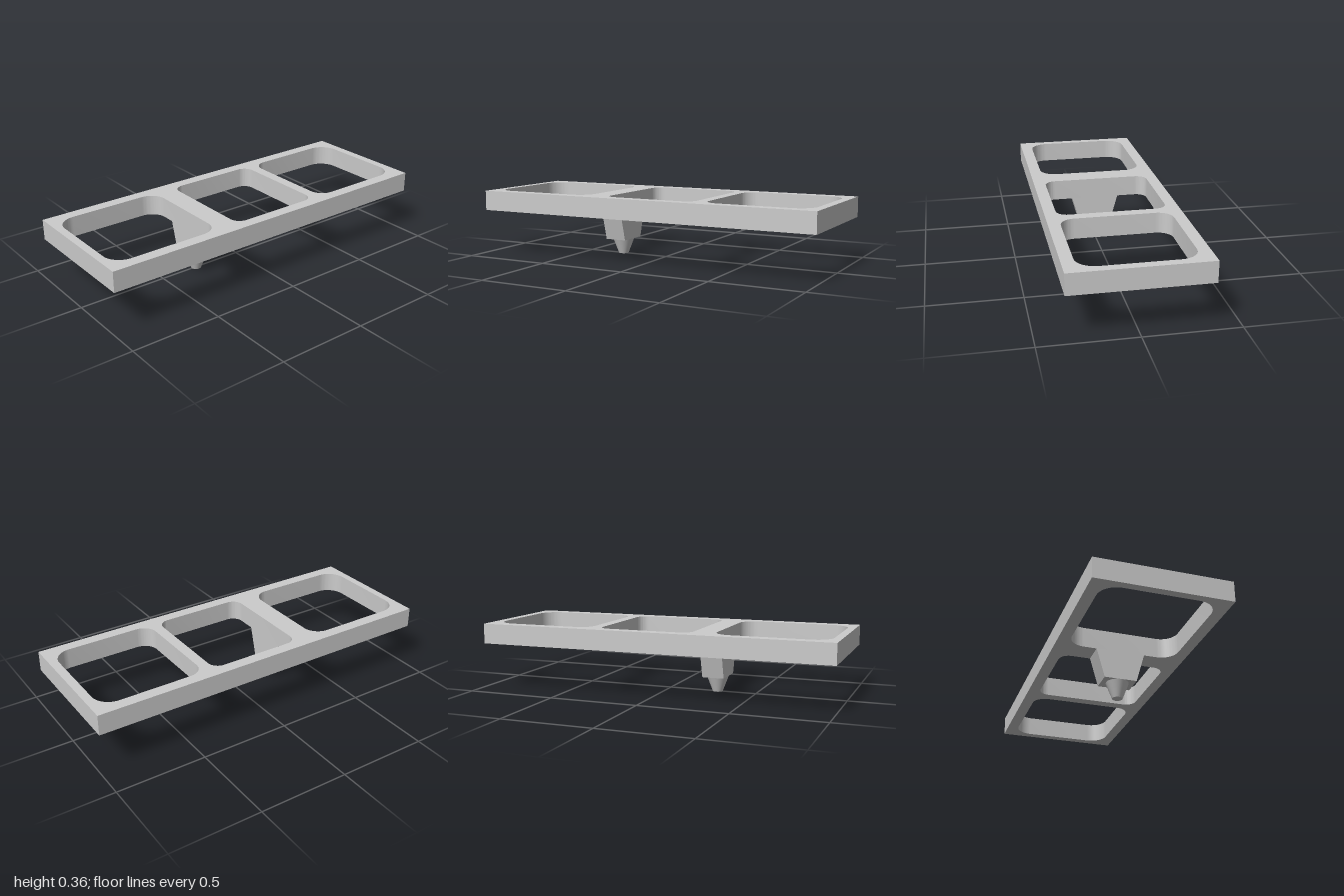
import * as THREE from 'three';
import { toCreasedNormals } from 'three/addons/utils/BufferGeometryUtils.js';

const material = new THREE.MeshStandardMaterial({ color: 0xcccccc });

const FRAME_BOTTOM = 0.249, FRAME_TOP = 0.362, HALF_DEPTH = 0.36;
const WEB_BOTTOM = 0.089, WEB_LEFT = -0.342, WEB_RIGHT = -0.219;

function addPart(group, name, geometry) {
  const mesh = new THREE.Mesh(geometry, material);
  mesh.name = name;
  group.add(mesh);
  return mesh;
}

// Rounded window; rl and rr are the corner radii on its -x and +x sides
function windowPath(x0, x1, halfZ, rl, rr) {
  const p = new THREE.Path();
  p.moveTo(x0 + rl, -halfZ);
  p.absarc(x1 - rr, -halfZ + rr, rr, -Math.PI / 2, 0);
  p.absarc(x1 - rr, halfZ - rr, rr, 0, Math.PI / 2);
  p.absarc(x0 + rl, halfZ - rl, rl, Math.PI / 2, Math.PI);
  p.absarc(x0 + rl, -halfZ + rl, rl, Math.PI, Math.PI * 1.5);
  p.closePath();
  return p;
}

export function createModel() {
  const group = new THREE.Group();
  group.name = 'windowedPlate';

  // Flat frame with three rounded windows
  const outline = new THREE.Shape([
    new THREE.Vector2(-1, -HALF_DEPTH), new THREE.Vector2(1, -HALF_DEPTH),
    new THREE.Vector2(1, HALF_DEPTH), new THREE.Vector2(-1, HALF_DEPTH),
  ]);
  const windows = [
    [-0.957, WEB_LEFT, 0.1, 0.09],
    [WEB_RIGHT, 0.31, 0.06, 0.06],
    [0.369, 0.952, 0.08, 0.1],
  ];
  for (const [x0, x1, rl, rr] of windows) outline.holes.push(windowPath(x0, x1, 0.296, rl, rr));
  const frame = new THREE.ExtrudeGeometry(outline, {
    depth: FRAME_TOP - FRAME_BOTTOM, bevelEnabled: false, curveSegments: 10,
  });
  frame.rotateX(-Math.PI / 2);
  frame.translate(0, FRAME_BOTTOM, 0);
  addPart(group, 'frame', toCreasedNormals(frame, 0.5));

  // Tapered web hanging under the wide crossbar
  const webShape = new THREE.Shape([
    new THREE.Vector2(-0.089, WEB_BOTTOM), new THREE.Vector2(0.089, WEB_BOTTOM),
    new THREE.Vector2(0.134, FRAME_BOTTOM), new THREE.Vector2(-0.134, FRAME_BOTTOM),
  ]);
  const web = new THREE.ExtrudeGeometry(webShape, { depth: WEB_RIGHT - WEB_LEFT, bevelEnabled: false });
  web.rotateY(Math.PI / 2);
  web.translate(WEB_LEFT, 0, 0);
  addPart(group, 'web', web);

  // Conical locating tip
  const tip = new THREE.CylinderGeometry(0.062, 0.028, WEB_BOTTOM, 40);
  addPart(group, 'tip', tip).position.set((WEB_LEFT + WEB_RIGHT) / 2, WEB_BOTTOM / 2, 0);

  return group;
}
